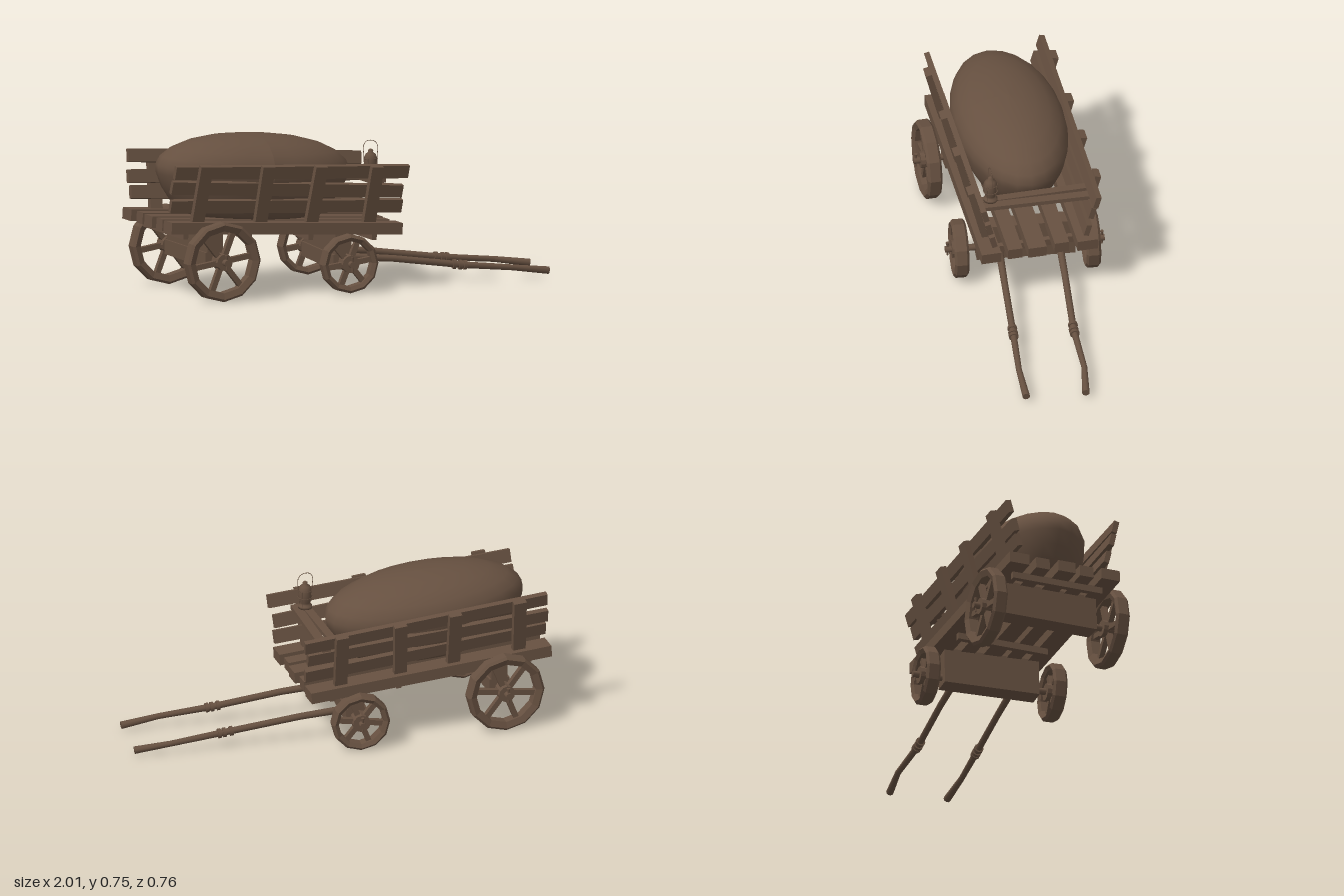
import * as THREE from 'three';

const wood = new THREE.MeshStandardMaterial({ color: 0x665040 });
wood.name = 'brown wood';

function add(parent, name, geometry, x = 0, y = 0, z = 0) {
  const mesh = new THREE.Mesh(geometry, wood);
  mesh.name = name;
  mesh.position.set(x, y, z);
  parent.add(mesh);
  return mesh;
}

function group(parent, name, x = 0, y = 0, z = 0) {
  const g = new THREE.Group();
  g.name = name;
  g.position.set(x, y, z);
  parent.add(g);
  return g;
}

const box = (w, h, d) => new THREE.BoxGeometry(w, h, d);
const lathe = (pts, sides) => new THREE.LatheGeometry(pts.map(([r, y]) => new THREE.Vector2(r, y)), sides);

function flat(geometry) {
  const g = geometry.toNonIndexed();
  g.computeVertexNormals();
  return g;
}

// Tapered round bar from a to b
function rod(parent, name, a, b, r0, r1 = r0, sides = 10) {
  const dir = b.clone().sub(a);
  const mesh = add(parent, name, new THREE.CylinderGeometry(r1, r0, dir.length(), sides));
  mesh.position.copy(a).add(b).multiplyScalar(0.5);
  mesh.quaternion.setFromUnitVectors(new THREE.Vector3(0, 1, 0), dir.normalize());
  return mesh;
}

const V = (x, y, z) => new THREE.Vector3(x, y, z);

// Twelve-sided spoked wheel around the z axis
function wheel(parent, z, radius, hubRadius) {
  const g = group(parent, 'wheel', 0, 0, z);
  const inner = radius * 0.78;
  const rim = lathe([
    [inner, -0.024], [radius - 0.012, -0.035], [radius, -0.024], [radius, 0.024],
    [radius - 0.012, 0.035], [inner, 0.024], [inner, -0.024]
  ], 12);
  add(g, 'rim', flat(rim)).rotation.x = Math.PI / 2;
  add(g, 'hub', flat(new THREE.CylinderGeometry(hubRadius, hubRadius, 0.07, 12))).rotation.x = Math.PI / 2;
  for (let i = 0; i < 6; i++) {
    const a = 0.15 + i * Math.PI / 3;
    const mid = (inner + 0.01) / 2;
    const spoke = add(g, 'spoke', box(inner + 0.01, 0.026, 0.026), Math.cos(a) * mid, Math.sin(a) * mid, 0);
    spoke.rotation.z = a;
  }
}

// Axle with its beam, wheels and linchpins
function axle(parent, name, x, y, radius, hubRadius, beamBottom, beamTop) {
  const g = group(parent, name, x, y, 0);
  rod(g, 'axle', V(0, 0, -0.38), V(0, 0, 0.38), 0.016);
  add(g, 'axleBeam', box(0.1, 0.07, 0.47), 0, beamBottom + 0.035 - y, 0);
  add(g, 'bolster', box(0.08, beamTop - beamBottom - 0.07, 0.47), 0, (beamBottom + 0.07 + beamTop) / 2 - y, 0);
  for (const s of [-1, 1]) {
    wheel(g, s * 0.314, radius, hubRadius);
    add(g, 'linchpin', new THREE.CylinderGeometry(0.005, 0.004, 0.07, 8), 0, 0, s * 0.368);
    add(g, 'linchpinHead', new THREE.CylinderGeometry(0.009, 0.005, 0.02, 8), 0, 0.028, s * 0.368);
  }
  return g;
}

export function createModel() {
  const cart = new THREE.Group();
  cart.name = 'cart';

  // Running gear; the front axle is steered a little
  axle(cart, 'rearAxle', -0.76, 0.195, 0.19, 0.04, 0.16, 0.33);
  axle(cart, 'frontAxle', -0.07, 0.146, 0.14, 0.042, 0.106, 0.285).rotation.y = -0.1;

  // Bed, tipped down towards the front; local y = 0 is the floor
  const bed = group(cart, 'bed', -0.4, 0.352, -0.013);
  bed.rotation.z = -0.0625;
  const floor = [[-0.232, 0.1, 1.2], [-0.108, 0.07, 1.18], [0.012, 0.088, 1.2], [0.118, 0.07, 1.18], [0.236, 0.095, 1.2]];
  for (const [z, w, len] of floor) add(bed, 'floorBoard', box(len, 0.055, w), 0, -0.028, z);
  for (const x of [-0.5, -0.17, 0.15, 0.48]) add(bed, 'batten', box(0.025, 0.035, 0.46), x, -0.07, 0);

  // Sloping slatted sides: x offset, height, plank tilt, length
  const rails = [[0.01, 0.07, 0.006, 1.2], [0, 0.155, -0.012, 1.2], [0.01, 0.243, 0.008, 1.21]];
  const stakes = [[-0.45, 0.0], [-0.125, 0.02], [0.145, -0.015], [0.44, 0.01]];
  for (const s of [-1, 1]) {
    const side = group(bed, s > 0 ? 'leftSide' : 'rightSide', 0, 0, s * 0.238);
    side.rotation.x = s * 0.25;
    for (const [x, y, tilt, len] of rails) {
      add(side, 'sideRail', box(len, 0.063, 0.026), x, y, -s * 0.027).rotation.z = tilt * s;
    }
    for (const [x, tilt] of stakes) {
      add(side, 'stake', box(0.062, 0.29, 0.03), x, 0.137, 0).rotation.z = tilt;
    }
  }

  // Bulging sack filling the bed
  const sack = lathe([
    [0, 0], [0.6, 0], [0.74, 0.015], [0.84, 0.07], [0.93, 0.13], [0.99, 0.195], [1, 0.235],
    [0.96, 0.275], [0.86, 0.315], [0.68, 0.352], [0.45, 0.377], [0.22, 0.388], [0, 0.391]
  ], 24);
  sack.scale(0.49, 1, 0.265);
  sack.computeVertexNormals();
  add(bed, 'sack', sack, -0.07, 0, 0);

  // Two-plank seat across the front
  add(cart, 'seatPlank', box(0.04, 0.02, 0.55), 0.055, 0.522, -0.013);
  add(cart, 'seatPlank', box(0.045, 0.02, 0.53), 0.107, 0.52, -0.013).rotation.y = -0.04;

  // Lantern with cage and wire handle
  const lantern = group(cart, 'lantern', 0.064, 0.532, 0.197);
  add(lantern, 'lanternBody', lathe([
    [0, 0], [0.034, 0], [0.034, 0.012], [0.022, 0.018], [0.024, 0.028], [0.033, 0.06], [0.03, 0.085],
    [0.031, 0.095], [0.024, 0.112], [0.012, 0.12], [0.013, 0.13], [0.005, 0.136], [0, 0.137]
  ], 12));
  for (const [y, r] of [[0.055, 0.034], [0.09, 0.032]]) {
    add(lantern, 'cageRing', new THREE.TorusGeometry(r, 0.002, 5, 16), 0, y, 0).rotation.x = Math.PI / 2;
  }
  for (let i = 0; i < 4; i++) {
    const a = Math.PI / 4 + i * Math.PI / 2, c = Math.cos(a), s = Math.sin(a);
    rod(lantern, 'cageBar', V(c * 0.029, 0.012, s * 0.029), V(c * 0.034, 0.092, s * 0.034), 0.002, 0.002, 5);
  }
  const wire = new THREE.CatmullRomCurve3([
    V(-0.034, 0.09, 0), V(-0.036, 0.155, 0), V(-0.02, 0.175, 0), V(0.015, 0.174, 0), V(0.034, 0.155, 0), V(0.034, 0.09, 0)
  ]);
  add(lantern, 'handle', new THREE.TubeGeometry(wire, 24, 0.0016, 5));

  // Pair of crooked pulling shafts with collars
  const shafts = [
    [V(-0.04, 0.148, -0.16), V(0.2, 0.128, -0.133), V(0.565, 0.08, -0.09), V(0.83, 0.055, -0.08), V(1, 0.032, -0.048)],
    [V(-0.05, 0.152, 0.13), V(0.2, 0.13, 0.16), V(0.53, 0.085, 0.196), V(0.785, 0.06, 0.227), V(0.97, 0.036, 0.234)]
  ];
  const radii = [0.018, 0.016, 0.016, 0.014, 0.018];
  for (const p of shafts) {
    const g = group(cart, 'shaft');
    for (let i = 0; i < p.length - 1; i++) {
      rod(g, 'shaftPole', p[i], p[i + 1], radii[i], radii[i + 1]);
      if (i) add(g, 'shaftJoint', new THREE.SphereGeometry(radii[i], 10, 6), p[i].x, p[i].y, p[i].z);
    }
    for (const t of [-0.09, 0, 0.09]) {
      const c = p[2].clone().lerp(t < 0 ? p[1] : p[3], Math.abs(t));
      const d = p[3].clone().sub(p[1]).normalize().multiplyScalar(0.008);
      rod(g, 'collar', c.clone().sub(d), c.clone().add(d), 0.023);
    }
  }
  return cart;
}
